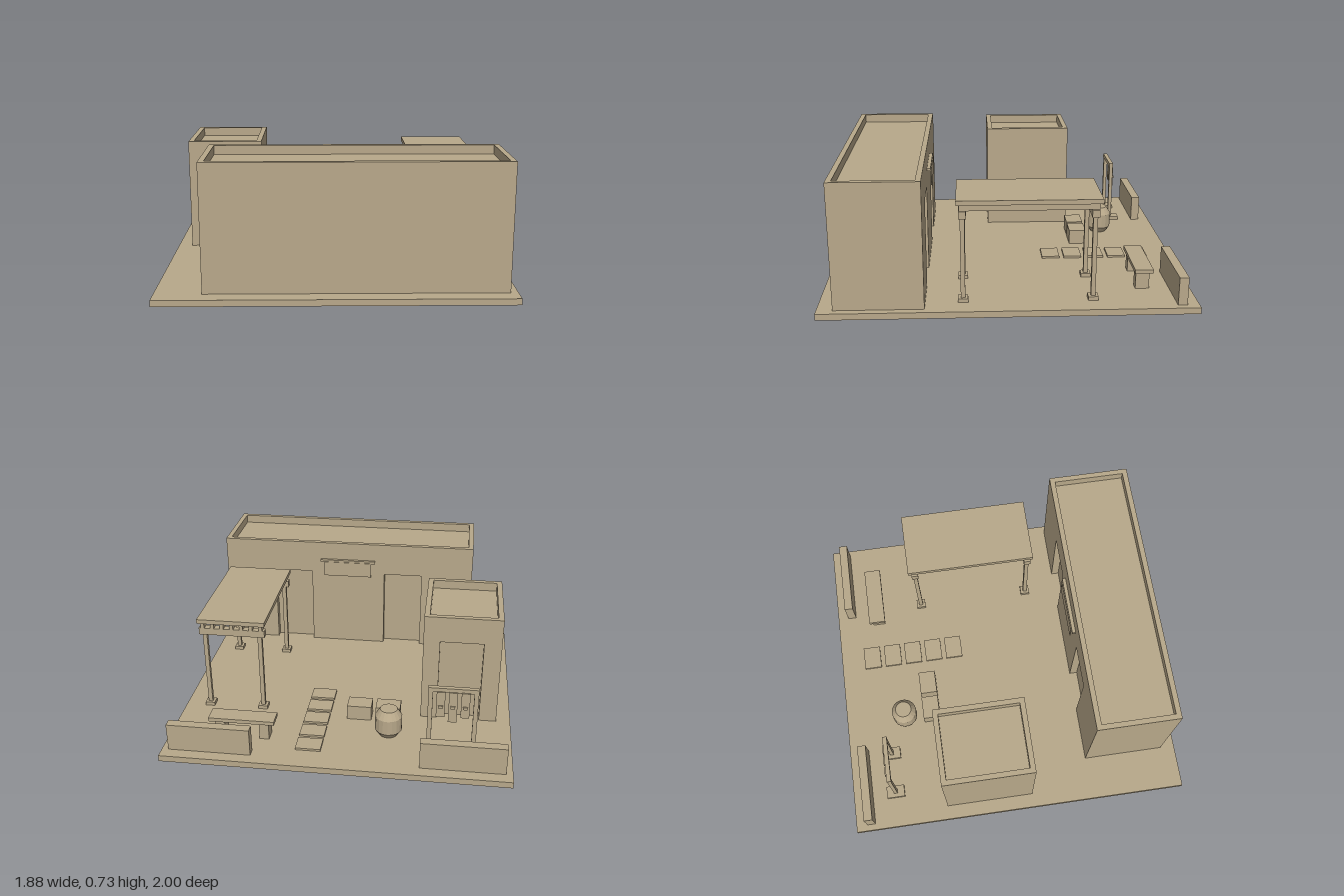
import * as THREE from 'three';

export function createModel() {
  const model = new THREE.Group();
  const clay = new THREE.MeshStandardMaterial({ color: 0xb8a88a });
  clay.name = 'clay';
  const GROUND = 0.035;

  const add = (name, geometry, parent = model) => {
    const mesh = new THREE.Mesh(geometry, clay);
    mesh.name = name;
    parent.add(mesh);
    return mesh;
  };
  // Box given by its limits on each axis
  const box = (name, x0, x1, y0, y1, z0, z1, parent) => {
    const g = new THREE.BoxGeometry(x1 - x0, y1 - y0, z1 - z0);
    g.translate((x0 + x1) / 2, (y0 + y1) / 2, (z0 + z1) / 2);
    return add(name, g, parent);
  };
  const group = (name) => {
    const g = new THREE.Group();
    g.name = name;
    model.add(g);
    return g;
  };
  const polygon = (points) => new THREE.Shape(points.map(([x, y]) => new THREE.Vector2(x, y)));
  const extrude = (shape, depth) => new THREE.ExtrudeGeometry(shape, { depth, bevelEnabled: false });

  // Flat-roofed house: back wall with recessed doorways, and a parapet round the roof
  function house(name, x0, x1, z0, z1, top, doorCentres) {
    const g = group(name);
    const roof = top - 0.05, reveal = 0.045, rim = 0.03, doorTop = 0.525, half = 0.12;
    box('houseBody', x0, x1, GROUND, roof, z0 + reveal, z1, g);
    const outline = [[x0, GROUND]];
    for (const c of doorCentres) {
      outline.push([c - half, GROUND], [c - half, doorTop], [c + half, doorTop], [c + half, GROUND]);
    }
    outline.push([x1, GROUND], [x1, roof], [x0, roof]);
    const wall = extrude(polygon(outline), reveal);
    wall.translate(0, 0, z0);
    add('doorwayWall', wall, g);

    const ring = polygon([[x0, -z1], [x1, -z1], [x1, -z0], [x0, -z0]]);
    ring.holes.push(polygon([
      [x0 + rim, -z1 + rim], [x0 + rim, -z0 - rim], [x1 - rim, -z0 - rim], [x1 - rim, -z1 + rim]]));
    const parapet = extrude(ring, top - roof);
    parapet.rotateX(-Math.PI / 2);
    parapet.translate(0, roof, 0);
    add('parapet', parapet, g);
  }

  box('groundSlab', -0.94, 0.94, 0, GROUND, -1, 1);
  house('mainHouse', -0.69, 0.9, 0.44, 0.915, 0.725, [-0.25, 0.46]);
  house('smallHouse', -0.86, -0.43, -0.44, 0.08, 0.675, [-0.642]);

  // Hanging cloth on a rail between the doors
  const hanging = group('wallHanging');
  box('rail', -0.07, 0.28, 0.6, 0.615, 0.42, 0.44, hanging);
  box('cloth', -0.045, 0.255, 0.51, 0.603, 0.416, 0.422, hanging);

  // Low walls along the back edge
  for (const s of [-1, 1]) {
    box('lowWall', s * 0.678 - 0.226, s * 0.678 + 0.226, GROUND, 0.19, -0.935, -0.885);
  }

  // Shade canopy on four posts
  const canopy = group('canopy');
  box('canopyRoof', 0.45, 0.835, 0.575, 0.6, -0.487, 0.272, canopy);
  for (let i = 0; i < 7; i++) {
    const x = 0.477 + i * 0.0552;
    box('rafter', x - 0.01, x + 0.01, 0.54, 0.575, -0.472, 0.257, canopy);
  }
  for (const z of [-0.45, 0.24]) {
    box('crossBeam', 0.455, 0.83, 0.5, 0.54, z - 0.02, z + 0.02, canopy);
    for (const x of [0.485, 0.8]) {
      box('post', x - 0.012, x + 0.012, GROUND, 0.5, z - 0.012, z + 0.012, canopy);
      box('postFoot', x - 0.027, x + 0.027, GROUND, 0.056, z - 0.027, z + 0.027, canopy);
    }
  }

  // Bench
  const bench = group('bench');
  box('seat', 0.35, 0.715, 0.135, 0.157, -0.79, -0.69, bench);
  for (const x of [0.41, 0.655]) {
    box('benchLeg', x - 0.027, x + 0.027, GROUND, 0.135, -0.775, -0.7, bench);
  }

  // Rack with hanging strips
  const rack = group('rack');
  box('topBar', -0.742, -0.477, 0.395, 0.42, -0.755, -0.73, rack);
  for (const x of [-0.73, -0.49]) {
    box('upright', x - 0.012, x + 0.012, GROUND, 0.4, -0.753, -0.732, rack);
    box('rackFoot', x - 0.035, x + 0.035, GROUND, 0.055, -0.797, -0.69, rack);
  }
  [0.25, 0.22, 0.25].forEach((bottom, i) => {
    const x = -0.675 + i * 0.065;
    box('hangingStrip', x - 0.023, x + 0.023, bottom, 0.4, -0.763, -0.755, rack);
    box('stripKnob', x - 0.012, x + 0.012, 0.305, 0.32, -0.77, -0.763, rack);
  });

  // Water jar
  const profile = [[0, GROUND], [0.05, GROUND], [0.075, 0.07], [0.075, 0.155], [0.048, 0.197], [0, 0.197]];
  const jar = new THREE.LatheGeometry(profile.map(([r, y]) => new THREE.Vector2(r, y)), 18).toNonIndexed();
  jar.computeVertexNormals();
  add('waterJar', jar).position.set(-0.263, 0, -0.633);

  // Two low blocks and a row of paving tiles
  for (const x of [-0.248, -0.085]) {
    box('lowBlock', x - 0.069, x + 0.069, GROUND, 0.12, -0.518, -0.417);
  }
  for (let i = 0; i < 5; i++) {
    const z = -0.803 + i * 0.131;
    box('pavingTile', 0.085, 0.224, GROUND, 0.047, z - 0.052, z + 0.052);
  }

  return model;
}
